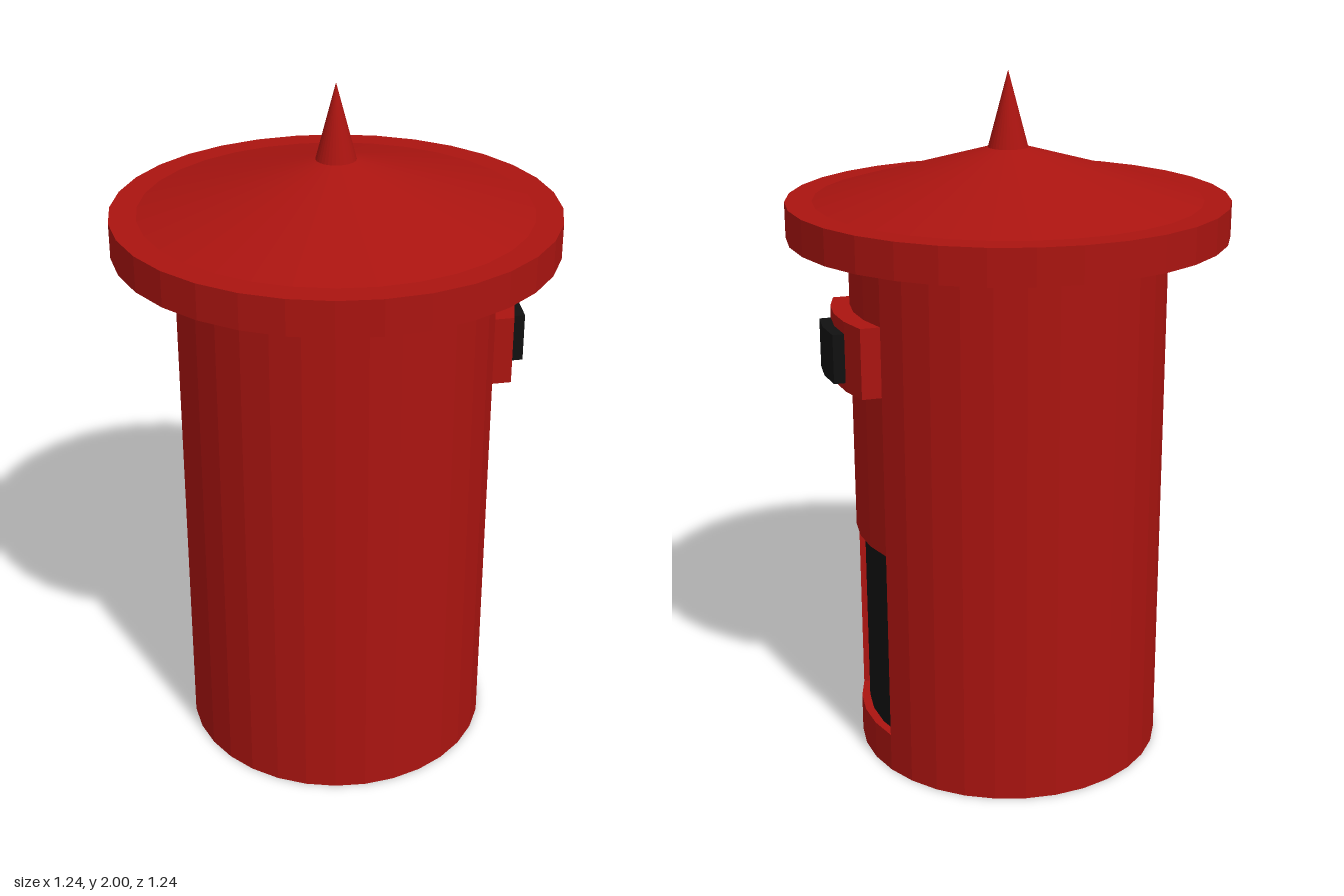
import * as THREE from 'three';

const SIDES = 32, STEP = (2 * Math.PI) / SIDES, R = 0.45;
const EAVE_Y = 1.525, DOOR_LOW = 0.115, DOOR_HIGH = 0.685;
const FIRST = 11, LAST = 15; // body facets taken up by the door and the slot hood
const OUT = 13 * STEP; // direction in which the door and hood are pushed in or out

// Points along the body's facets, shifted together along the OUT direction.
function arc(from, to, shift) {
  const points = [];
  for (let i = from; i <= to; i++) {
    points.push(new THREE.Vector2(
      R * Math.sin(i * STEP) + shift * Math.sin(OUT),
      R * Math.cos(i * STEP) + shift * Math.cos(OUT)));
  }
  return points;
}

// Plan outline between two shifted arcs.
function outline(from, to, inner, outer) {
  const plan = [...arc(from, to, inner), ...arc(from, to, outer).reverse()];
  return new THREE.Shape(plan.map((p) => new THREE.Vector2(p.x, -p.y)));
}

// Solid curved block standing from y0 to y1.
function block(from, to, inner, outer, y0, y1) {
  return new THREE.ExtrudeGeometry(outline(from, to, inner, outer), { depth: y1 - y0, bevelEnabled: false })
    .rotateX(-Math.PI / 2).translate(0, y0, 0);
}

// Upright sheet following a row of plan points.
function sheet(points, y0, y1) {
  const v = [];
  for (let i = 0; i + 1 < points.length; i++) {
    const a = points[i], b = points[i + 1];
    v.push(a.x, y0, a.y, b.x, y0, b.y, b.x, y1, b.y, a.x, y0, a.y, b.x, y1, b.y, a.x, y1, a.y);
  }
  const geometry = new THREE.BufferGeometry();
  geometry.setAttribute('position', new THREE.Float32BufferAttribute(v, 3));
  geometry.computeVertexNormals();
  return geometry;
}

// Open part of the body wall covering a run of facets.
function wall(first, count, y0, y1) {
  return new THREE.CylinderGeometry(R, R, y1 - y0, count, 1, true, first * STEP, count * STEP)
    .translate(0, (y0 + y1) / 2, 0);
}

export function createModel() {
  const model = new THREE.Group();
  const paint = (color) => new THREE.MeshStandardMaterial({ color, flatShading: true, side: THREE.DoubleSide });
  const red = paint(0xaa1410), black = paint(0x111111);
  const add = (name, geometry, material = red) => {
    const mesh = new THREE.Mesh(geometry, material);
    mesh.name = name;
    model.add(mesh);
  };

  // Body, left open where the door is set in
  const width = LAST - FIRST;
  add('bodyWall', wall(LAST, SIDES - width, 0, EAVE_Y));
  add('wallBelowDoor', wall(FIRST, width, 0, DOOR_LOW));
  add('wallAboveDoor', wall(FIRST, width, DOOR_HIGH, EAVE_Y));
  add('bodyBottom', new THREE.CircleGeometry(R, SIDES).rotateX(Math.PI / 2));

  // Recessed door with its red frame
  const depth = -0.025;
  const back = arc(FIRST, LAST, depth), front = arc(FIRST, LAST, 0);
  add('door', sheet(back, DOOR_LOW, DOOR_HIGH), black);
  for (const i of [0, width]) add('doorJamb', sheet([back[i], front[i]], DOOR_LOW, DOOR_HIGH));
  for (const [name, y] of [['doorSill', DOOR_LOW], ['doorLintel', DOOR_HIGH]]) {
    add(name, new THREE.ShapeGeometry(outline(FIRST, LAST, depth, 0)).rotateX(-Math.PI / 2).translate(0, y, 0));
  }

  // Raised hood with the dark slot on its face
  add('slotHood', block(FIRST, LAST, 0, 0.055, 1.155, 1.355));
  add('slot', block(FIRST + 1, LAST - 1, 0.055, 0.0875, 1.18, 1.32), black);

  // Roof with overhanging rim, and the spike
  const roof = [[R, EAVE_Y], [0.62, 1.55], [0.62, 1.65], [0.545, 1.65], [0.055, 1.79]];
  add('roof', new THREE.LatheGeometry(roof.map(([x, y]) => new THREE.Vector2(x, y)), SIDES));
  add('spike', new THREE.ConeGeometry(0.056, 0.21, SIDES, 1, true).translate(0, 1.895, 0));

  return model;
}
